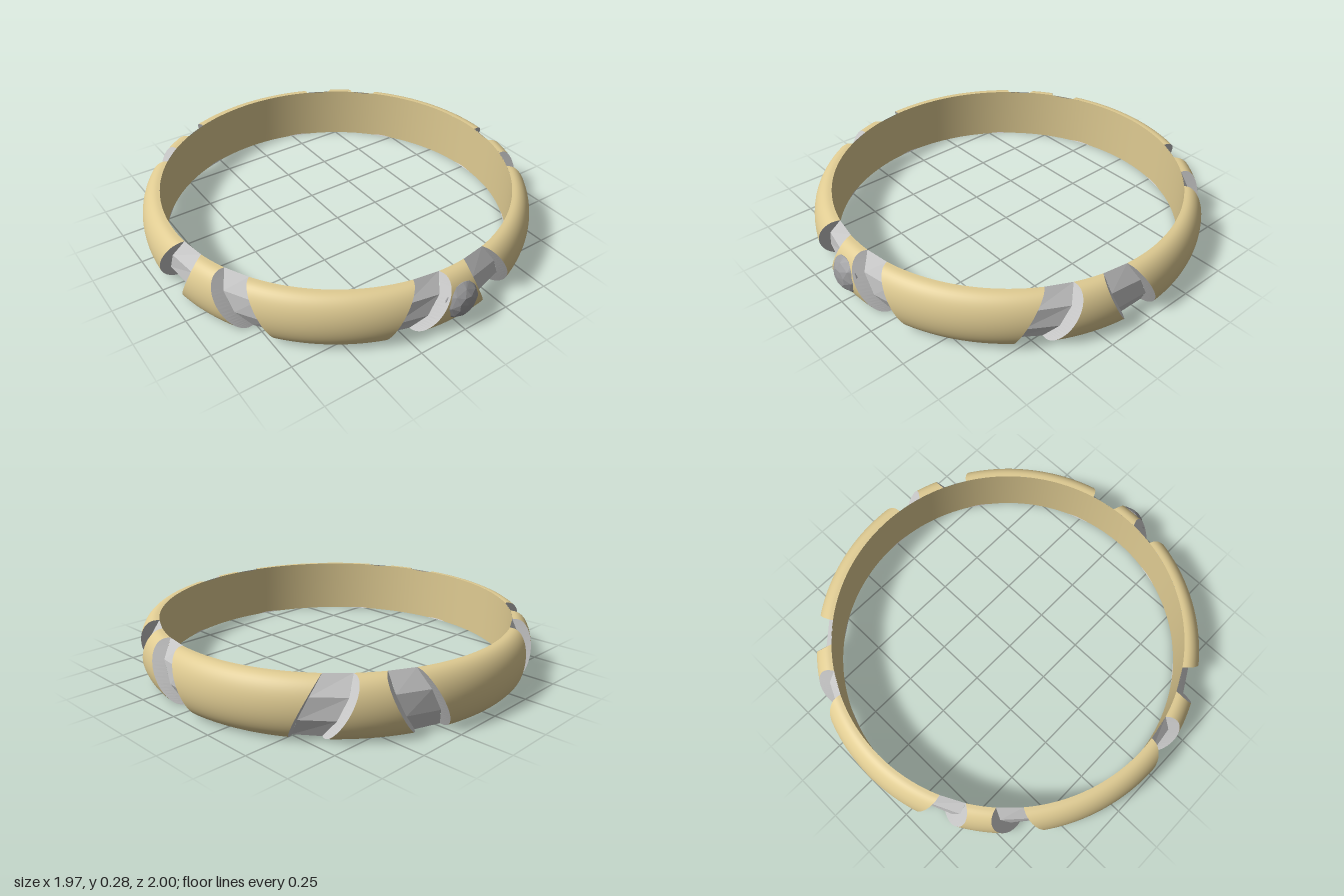
import * as THREE from 'three';
import { ConvexGeometry } from 'three/addons/geometries/ConvexGeometry.js';

const H = 0.285, R_IN = 0.887, R_RIM = 0.9, R_OUT = 0.987, CENTRE_Z = -0.013;
const MOTIFS = 5, STEP = (Math.PI * 2) / MOTIFS, ROWS = 28;

const gold = new THREE.MeshStandardMaterial({ color: 0xdfcb92 });
const silver = new THREE.MeshStandardMaterial({ color: 0xcccccc, flatShading: true, side: THREE.DoubleSide });
const stone = new THREE.MeshStandardMaterial({ color: 0x9c9c9e, flatShading: true });

// Faceted groove floor: radius and height of each break
const FLOOR = [[R_IN, 0], [0.932, 0.09], [0.932, 0.195], [R_IN, H]];

function floorRadius(y) {
  for (let i = 0; i < FLOOR.length - 1; i++) {
    const [r0, y0] = FLOOR[i], [r1, y1] = FLOOR[i + 1];
    if (y <= y1) return r0 + ((r1 - r0) * (y - y0)) / (y1 - y0);
  }
  return R_IN;
}

// Rounded outer section of the band, from bottom to top
const OUTER = [];
for (let i = 0; i <= ROWS; i++) {
  const a = (i / ROWS) * Math.PI;
  OUTER.push([R_RIM + (R_OUT - R_RIM) * Math.sin(a), (H / 2) * (1 - Math.cos(a))]);
}
const SECTION = [[R_IN, 0], ...OUTER, [R_IN, H]];

// Slanted groove edges, as angles from the middle of a motif
const innerEdge = (r, y) => 0.08 + 0.145 * (1 - y / H) - 0.5 * (r - R_IN);
const outerEdge = (r, y) => 0.225 + 0.145 * (1 - y / H) + 0.2 * (r - R_IN);

// Quad grid whose corners come from at(column, row) = [angle, radius, height]
function grid(cols, rows, at) {
  const pos = [], index = [];
  for (let j = 0; j <= rows; j++) {
    for (let i = 0; i <= cols; i++) {
      const [t, r, y] = at(i / cols, j);
      pos.push(Math.sin(t) * r, y, Math.cos(t) * r);
    }
  }
  for (let j = 0; j < rows; j++) {
    for (let i = 0; i < cols; i++) {
      const a = j * (cols + 1) + i, b = a + cols + 1;
      index.push(a, a + 1, b + 1, a, b + 1, b);
    }
  }
  const g = new THREE.BufferGeometry();
  g.setAttribute('position', new THREE.Float32BufferAttribute(pos, 3));
  g.setIndex(index);
  g.computeVertexNormals();
  return g;
}

// Strip of band following a section between two edge functions
function strip(section, cols, from, to) {
  return grid(cols, section.length - 1, (u, j) => {
    const [r, y] = section[j];
    return [THREE.MathUtils.lerp(from(r, y), to(r, y), u), r, y];
  });
}

// Side wall of a groove, from the floor out to the band surface
function wall(edge) {
  return grid(1, ROWS, (u, j) => {
    const [rOut, y] = OUTER[j];
    const r = THREE.MathUtils.lerp(floorRadius(y), rOut, u);
    return [edge(r, y), r, y];
  });
}

function add(parent, name, geometry, material) {
  const mesh = new THREE.Mesh(geometry, material);
  mesh.name = name;
  parent.add(mesh);
  return mesh;
}

// Brilliant-cut stone, facing +z
function stoneGeometry() {
  const pts = [];
  const ring = (n, r, z, turn) => {
    for (let i = 0; i < n; i++) {
      const a = ((i + turn) / n) * Math.PI * 2;
      pts.push(new THREE.Vector3(Math.cos(a) * r, Math.sin(a) * r, z));
    }
  };
  ring(32, 0.097, 0.93, 0);
  ring(32, 0.097, 0.966, 0);
  ring(8, 0.076, 0.991, 0);
  ring(8, 0.045, 1.009, 0.5);
  pts.push(new THREE.Vector3(0, 0, 1.013));
  return new ConvexGeometry(pts);
}

export function createModel() {
  const model = new THREE.Group();
  model.name = 'bangle';
  const band = new THREE.Group();
  band.name = 'band';
  band.position.z = CENTRE_Z;
  model.add(band);

  // Plain inside of the band
  add(band, 'innerWall', grid(160, 1, (u, j) => [-u * Math.PI * 2, R_IN, j * H]), gold);

  for (let m = 0; m < MOTIFS; m++) {
    const motif = new THREE.Group();
    motif.name = 'motif' + (m + 1);
    motif.rotation.y = m * STEP;
    band.add(motif);

    // Short tapered panel, and the long panel reaching to the next motif
    add(motif, 'shortPanel', strip(SECTION, 10, (r, y) => -innerEdge(r, y), innerEdge), gold);
    add(motif, 'longPanel', strip(SECTION, 24, outerEdge, (r, y) => STEP - outerEdge(r, y)), gold);

    // Mirrored pair of faceted grooves
    for (const s of [-1, 1]) {
      const near = (r, y) => s * innerEdge(r, y), far = (r, y) => s * outerEdge(r, y);
      const floor = s > 0 ? strip(FLOOR, 1, near, far) : strip(FLOOR, 1, far, near);
      add(motif, 'grooveFloor', floor, silver);
      add(motif, 'grooveInnerWall', wall(near), silver);
      add(motif, 'grooveOuterWall', wall(far), silver);
    }
  }

  // Stone set in the front panel
  add(band, 'stone', stoneGeometry(), stone).position.y = 0.145;
  return model;
}
